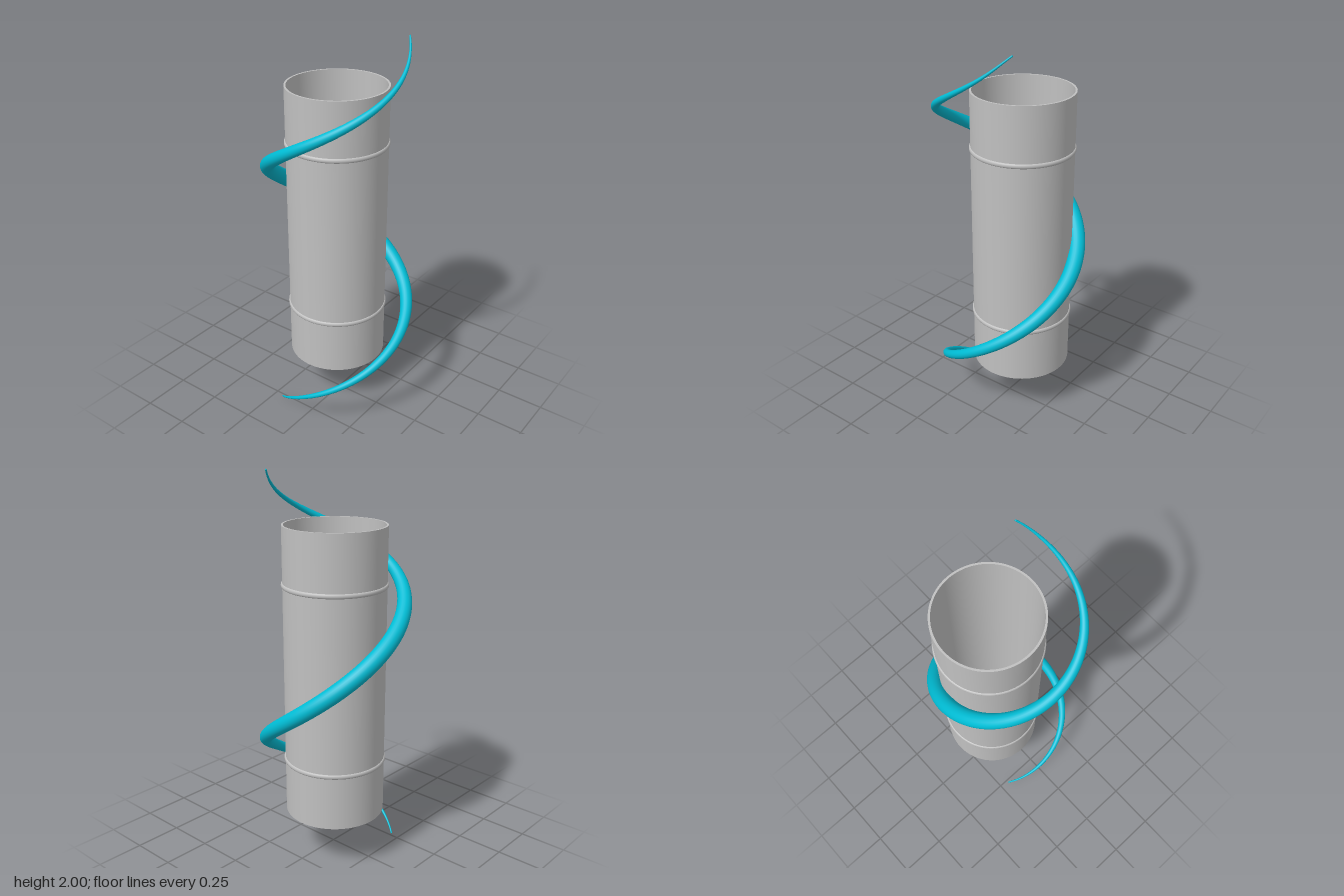
import * as THREE from 'three';
import { toCreasedNormals } from 'three/addons/utils/BufferGeometryUtils.js';

// Stations along the coil: angle from the front (degrees), height, coil radius, strand radius
const STATIONS = [
  [-36.5, 0.004, 0.332, 0.004],
  [0, 0.135, 0.336, 0.010],
  [90, 0.45, 0.356, 0.026],
  [180, 0.81, 0.348, 0.040],
  [270, 1.20, 0.346, 0.042],
  [360, 1.55, 0.361, 0.028],
  [450, 1.84, 0.331, 0.011],
  [488.7, 1.996, 0.320, 0.004],
];

// Spiral whose angle, height and radius are smoothly interpolated between stations
class Spiral extends THREE.Curve {
  constructor() {
    super();
    this.arcLengthDivisions = 600;
    this.shape = new THREE.CatmullRomCurve3(
      STATIONS.map(([a, y, r]) => new THREE.Vector3(THREE.MathUtils.degToRad(a), y, r)), false, 'catmullrom');
    this.thickness = new THREE.SplineCurve(STATIONS.map((s, i) => new THREE.Vector2(i, s[3])));
  }
  getPoint(t, target = new THREE.Vector3()) {
    const p = this.shape.getPoint(t);
    return target.set(p.z * Math.sin(p.x), p.y, p.z * Math.cos(p.x));
  }
}

// Unit tube around the spiral, with each ring scaled to the local strand radius
function taperedTube(path, segments, sides) {
  const geometry = new THREE.TubeGeometry(path, segments, 1, sides, false);
  const pos = geometry.attributes.position;
  const v = new THREE.Vector3();
  for (let i = 0; i <= segments; i++) {
    const centre = path.getPointAt(i / segments);
    const radius = path.thickness.getPoint(path.getUtoTmapping(i / segments)).y;
    for (let j = 0; j <= sides; j++) {
      const k = i * (sides + 1) + j;
      v.fromBufferAttribute(pos, k).sub(centre).multiplyScalar(radius).add(centre);
      pos.setXYZ(k, v.x, v.y, v.z);
    }
  }
  return geometry;
}

export function createModel() {
  const model = new THREE.Group();
  const metal = new THREE.MeshStandardMaterial({ color: 0xc0c0c0 });
  metal.name = 'pipeGrey';
  const cyan = new THREE.MeshStandardMaterial({ color: 0x00bcd4 });
  cyan.name = 'coilCyan';

  const add = (parent, name, geometry, material) => {
    const mesh = new THREE.Mesh(geometry, material);
    mesh.name = name;
    parent.add(mesh);
    return mesh;
  };

  // Hollow pipe, off centre inside the coil
  const pipe = new THREE.Group();
  pipe.name = 'pipe';
  pipe.position.set(-0.049, 0, -0.044);
  model.add(pipe);
  const OUTER = 0.256, INNER = 0.246, BOTTOM = 0.255, TOP = 1.752;
  const wall = [[OUTER, BOTTOM], [OUTER, TOP], [INNER, TOP], [INNER, BOTTOM], [OUTER, BOTTOM]]
    .map(([r, y]) => new THREE.Vector2(r, y));
  add(pipe, 'pipeWall', toCreasedNormals(new THREE.LatheGeometry(wall, 96), 0.5), metal);

  // Rounded beads pressed around the pipe
  for (const [name, y] of [['lowerBead', 0.546], ['upperBead', 1.462]]) {
    const profile = [];
    for (let i = 0; i <= 8; i++) {
      const a = -Math.PI / 2 + (Math.PI * i) / 8;
      profile.push(new THREE.Vector2(OUTER - 0.001 + 0.008 * Math.cos(a), y + 0.012 * Math.sin(a)));
    }
    add(pipe, name, new THREE.LatheGeometry(profile, 96), metal);
  }

  // Tapered coil with rounded tips
  const coil = new THREE.Group();
  coil.name = 'coil';
  model.add(coil);
  const path = new Spiral();
  add(coil, 'coilStrand', taperedTube(path, 240, 24), cyan);
  for (const [name, t] of [['lowerTip', 0], ['upperTip', 1]]) {
    add(coil, name, new THREE.SphereGeometry(0.004, 12, 8), cyan).position.copy(path.getPoint(t));
  }

  return model;
}
